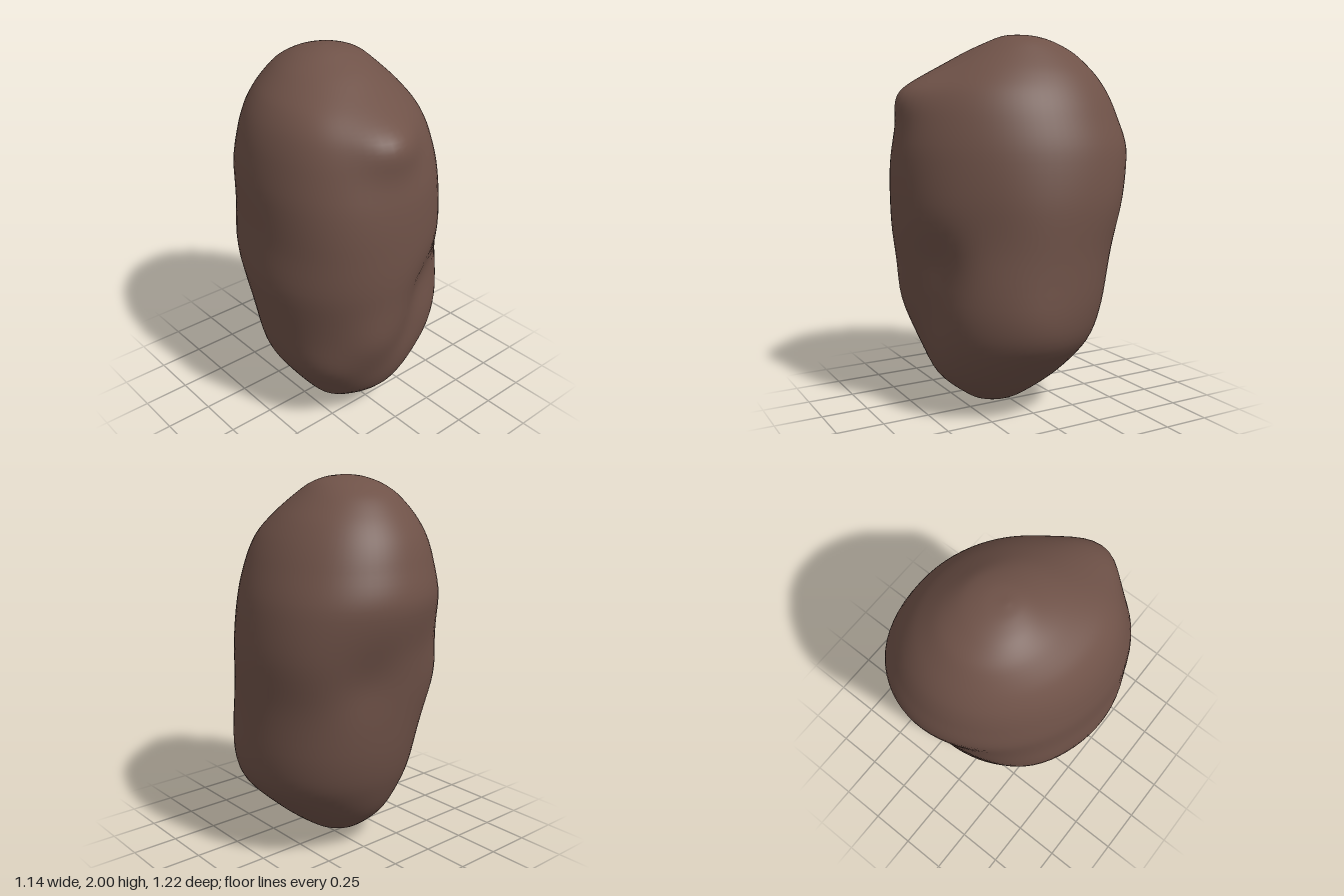
import * as THREE from 'three';

// Cross-sections from bottom to top: y, x min, x max, z min (back), z max (front), skew
const SECTIONS = [
  [0.00, -0.10, -0.10, 0.07, 0.07, 0],
  [0.015, -0.15, -0.01, 0.00, 0.14, 0],
  [0.05, -0.21, 0.09, -0.10, 0.23, 0],
  [0.20, -0.33, 0.29, -0.28, 0.41, -0.02],
  [0.40, -0.46, 0.49, -0.39, 0.50, -0.05],
  [0.60, -0.515, 0.55, -0.45, 0.56, -0.08],
  [0.90, -0.565, 0.565, -0.50, 0.60, -0.11],
  [1.15, -0.55, 0.57, -0.55, 0.605, -0.12],
  [1.40, -0.545, 0.54, -0.605, 0.60, -0.12],
  [1.58, -0.515, 0.48, -0.565, 0.555, -0.12],
  [1.70, -0.47, 0.42, -0.52, 0.49, -0.12],
  [1.80, -0.40, 0.345, -0.455, 0.38, -0.12],
  [1.90, -0.285, 0.24, -0.36, 0.23, -0.08],
  [1.96, -0.19, 0.16, -0.25, 0.11, 0],
  [1.99, -0.11, 0.07, -0.15, 0.03, 0],
  [2.00, -0.04, -0.04, -0.05, -0.05, 0],
];

// Soft dents (negative) and bumps: position, radius, depth along the outward direction
const DENTS = [
  [0.15, 0.82, 0.48, 0.19, -0.075], // front hollow
  [0.07, 0.58, 0.48, 0.17, -0.05],  // tail of the front hollow
  [-0.20, 0.62, 0.52, 0.17, 0.025], // ridge beside the hollow
  [0.48, 0.54, 0.12, 0.16, 0.02],   // low knob on the left
  [0.42, 0.98, 0.38, 0.22, -0.025], // flat above the knob
  [-0.36, 0.40, 0.36, 0.18, 0.035], // low corner on the front right
  [-0.11, 1.70, 0.50, 0.16, 0.08],  // brow at the upper front
  [-0.30, 1.74, 0.25, 0.17, 0.025], // shoulder beside the brow
  [-0.35, 1.20, 0.47, 0.30, 0.03],  // broad swell on the front right
  [0.35, 1.35, 0.40, 0.30, -0.02],  // broad flat on the front left
  [0.20, 1.04, -0.48, 0.16, -0.025], // back hollow
  [0.46, 1.15, -0.34, 0.24, 0.02],  // swell on the back left
  [-0.42, 1.00, -0.37, 0.26, 0.045], // swell on the back right
];

const RINGS = 75, SIDES = 72;

// Closed stone skin lofted through the sections
function stoneGeometry() {
  const curve = (pick) => new THREE.CatmullRomCurve3(
    SECTIONS.map((s) => new THREE.Vector3(...pick(s))), false, 'catmullrom', 0.45);
  const path = curve((s) => [(s[1] + s[2]) / 2, s[0], (s[3] + s[4]) / 2]);
  const size = curve((s) => [(s[2] - s[1]) / 2, (s[4] - s[3]) / 2, s[5]]);

  const positions = [], index = [];
  const p = new THREE.Vector3(), q = new THREE.Vector3(), out = new THREE.Vector3();
  for (let i = 0; i <= RINGS; i++) {
    const t = i / RINGS;
    const c = path.getPoint(t), r = size.getPoint(t);
    const pole = i === 0 || i === RINGS;
    for (let j = 0; j < (pole ? 1 : SIDES); j++) {
      const a = j / SIDES * Math.PI * 2;
      out.set(Math.cos(a), 0, Math.sin(a + Math.asin(r.z)));
      p.set(c.x + r.x * out.x, c.y, c.z + r.y * out.z);
      let push = 0;
      for (const [x, y, z, radius, depth] of DENTS) {
        push += depth * Math.exp(-p.distanceToSquared(q.set(x, y, z)) / (radius * radius));
      }
      if (!pole) p.addScaledVector(out, push);
      positions.push(p.x, p.y, p.z);
    }
  }

  // Bands between rings, with fans at the two poles
  const last = positions.length / 3 - 1;
  const at = (i, j) => 1 + (i - 1) * SIDES + j % SIDES;
  for (let j = 0; j < SIDES; j++) {
    index.push(0, at(1, j), at(1, j + 1));
    for (let i = 1; i < RINGS - 1; i++) {
      index.push(at(i, j), at(i + 1, j), at(i, j + 1));
      index.push(at(i + 1, j), at(i + 1, j + 1), at(i, j + 1));
    }
    index.push(at(RINGS - 1, j), last, at(RINGS - 1, j + 1));
  }
  const geometry = new THREE.BufferGeometry();
  geometry.setAttribute('position', new THREE.Float32BufferAttribute(positions, 3));
  geometry.setIndex(index);
  geometry.computeVertexNormals();
  return geometry;
}

export function createModel() {
  const group = new THREE.Group();
  group.name = 'stone';
  const brown = new THREE.MeshStandardMaterial({ color: 0x6f5248 });
  brown.name = 'earthBrown';
  const body = new THREE.Mesh(stoneGeometry(), brown);
  body.name = 'stoneBody';
  group.add(body);
  return group;
}
